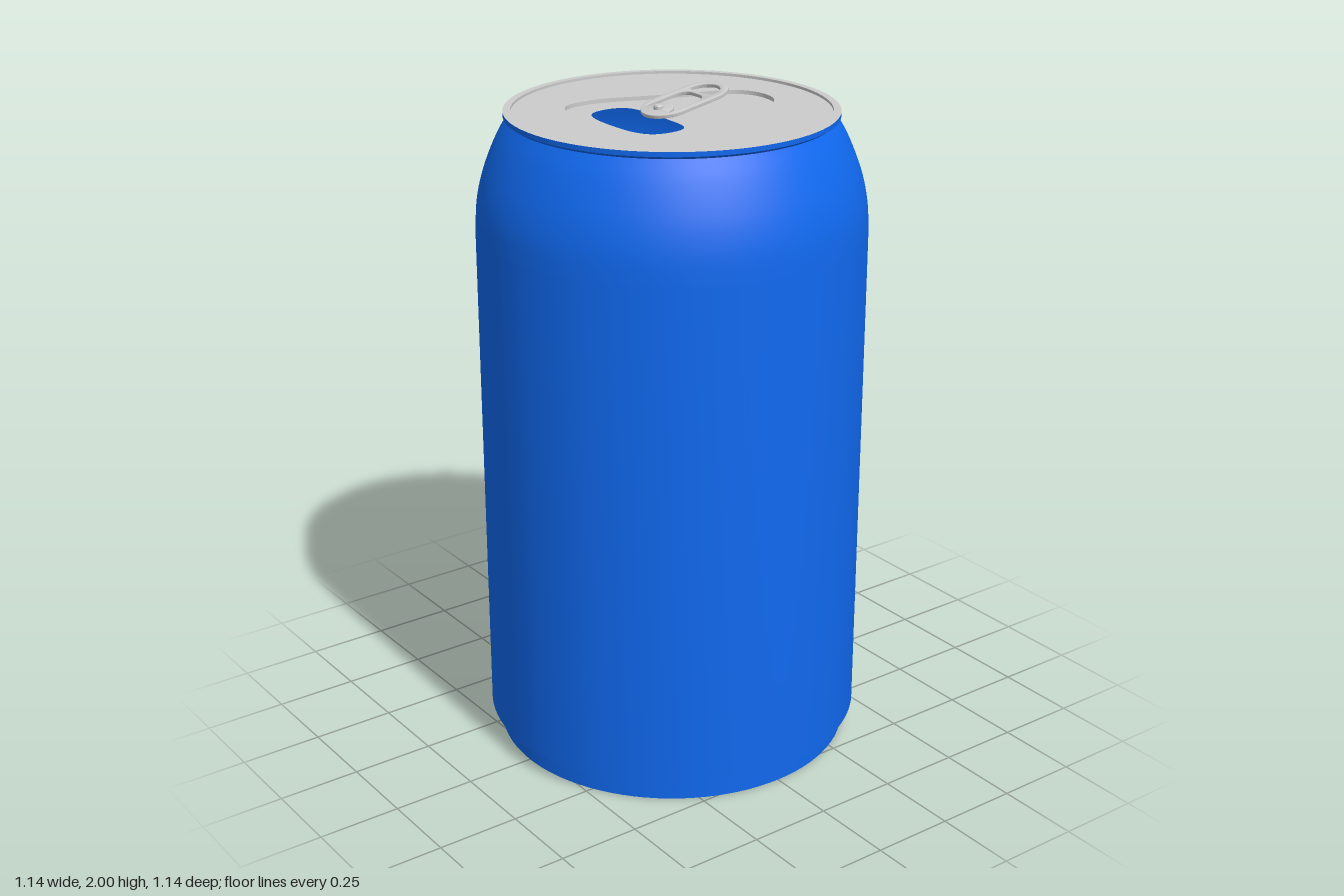
import * as THREE from 'three';
import { toCreasedNormals } from 'three/addons/utils/BufferGeometryUtils.js';

const blue = new THREE.MeshStandardMaterial({ color: 0x1068ee, side: THREE.DoubleSide });
const grey = new THREE.MeshStandardMaterial({ color: 0xcccccc, side: THREE.DoubleSide });

const LID_Y = 1.942, PANEL_Y = 1.93; // lid surface and sunken panel
const RIVET_Z = 0.047;

function addMesh(parent, name, geometry, material) {
  const mesh = new THREE.Mesh(geometry, material);
  mesh.name = name;
  parent.add(mesh);
  return mesh;
}

function lathe(points) {
  const profile = points.map(([x, y]) => new THREE.Vector2(x, y));
  return toCreasedNormals(new THREE.LatheGeometry(profile, 96), 0.5);
}

// Closed outline mirrored across x = 0; half runs from back centre to front centre as (x, z)
function mirroredOutline(start, curves) {
  const path = new THREE.Path();
  path.moveTo(start[0], -start[1]);
  for (const [ax, az, bx, bz, x, z] of curves) path.bezierCurveTo(ax, -az, bx, -bz, x, -z);
  const half = path.getPoints(16);
  const other = half.slice(1, -1).reverse().map((p) => new THREE.Vector2(-p.x, p.y));
  return [...half, ...other];
}

// Flat horizontal plate from an outline with one hole
function plate(outline, hole, y) {
  const shape = new THREE.Shape(outline);
  shape.holes.push(new THREE.Path(hole));
  return new THREE.ShapeGeometry(shape).rotateX(-Math.PI / 2).translate(0, y, 0);
}

// Vertical wall following an outline between two heights
function wall(outline, y0, y1) {
  const positions = [], index = [], n = outline.length;
  outline.forEach((p, i) => {
    positions.push(p.x, y0, -p.y, p.x, y1, -p.y);
    const a = 2 * i, b = 2 * ((i + 1) % n);
    index.push(a, a + 1, b, b, a + 1, b + 1);
  });
  const geometry = new THREE.BufferGeometry();
  geometry.setAttribute('position', new THREE.Float32BufferAttribute(positions, 3));
  geometry.setIndex(index);
  geometry.computeVertexNormals();
  return geometry;
}

function tabGeometry() {
  // Stadium outline, measured from the rivet, with +y toward the finger end
  const shape = new THREE.Shape();
  shape.absarc(0, 0.157, 0.078, 0, Math.PI);
  shape.absarc(0, 0.033, 0.078, Math.PI, 2 * Math.PI);
  shape.closePath();

  // D-shaped finger hole
  const finger = new THREE.Path();
  finger.absarc(0, 0.155, 0.055, 0, Math.PI);
  finger.quadraticCurveTo(0, 0.138, 0.055, 0.155);

  // Inner hole wrapping around the rivet tongue
  const inner = new THREE.Path();
  inner.moveTo(0.055, 0);
  inner.lineTo(0.055, 0.097);
  inner.absarc(0.017, 0.097, 0.038, 0, Math.PI / 2);
  inner.absarc(-0.017, 0.097, 0.038, Math.PI / 2, Math.PI);
  inner.lineTo(-0.055, 0);
  inner.absarc(0, 0, 0.045, Math.PI - 0.1, 0.1, true);
  inner.closePath();

  shape.holes.push(finger, inner);
  const geometry = new THREE.ExtrudeGeometry(shape, {
    depth: 0.006, curveSegments: 24,
    bevelThickness: 0.003, bevelSize: 0.003, bevelOffset: -0.003, bevelSegments: 2,
  });
  return toCreasedNormals(geometry.rotateX(-Math.PI / 2).translate(0, 0.003, 0), 0.6);
}

export function createModel() {
  const can = new THREE.Group();
  can.name = 'drinkCan';

  // Hollow body: straight wall, rounded shoulder and flared neck
  const shoulder = new THREE.SplineCurve([
    [0.569, 1.6], [0.564, 1.68], [0.55, 1.75], [0.528, 1.815], [0.499, 1.88], [0.47, 1.928],
  ].map(([x, y]) => new THREE.Vector2(x, y))).getPoints(24).map((p) => [p.x, p.y]);
  addMesh(can, 'body', lathe([
    [0.538, 0.072], [0.569, 0.072], ...shoulder, [0.481, 1.936], [0.481, 1.95],
  ]), blue);

  // Stepped base with a flat floor
  addMesh(can, 'base', lathe([[0, 0], [0.538, 0], [0.538, 0.072]]), blue);

  // Raised lid rim
  const lid = new THREE.Group();
  lid.name = 'lid';
  can.add(lid);
  addMesh(lid, 'lidRim', lathe([[0.481, 1.95], [0.46, 1.95], [0.46, LID_Y]]), grey);

  // Lid surface around the sunken tapered panel
  const panel = mirroredOutline([0, -0.337], [
    [0.05, -0.337, 0.09, -0.315, 0.112, -0.26],
    [0.145, -0.165, 0.165, -0.09, 0.2, -0.005],
    [0.22, 0.045, 0.238, 0.08, 0.238, 0.14],
    [0.238, 0.235, 0.2, 0.262, 0, 0.262],
  ]);
  const circle = new THREE.Path().absarc(0, 0, 0.46, 0, 2 * Math.PI).getPoints(96).slice(0, -1);
  addMesh(lid, 'lidSurface', plate(circle, panel, LID_Y), grey);
  addMesh(lid, 'panelEdge', wall(panel, PANEL_Y, LID_Y), grey);

  // Sunken panel with the drinking opening
  const mouth = mirroredOutline([0, 0.043], [
    [0.03, 0.043, 0.06, 0.043, 0.09, 0.045],
    [0.14, 0.048, 0.16, 0.07, 0.16, 0.12],
    [0.16, 0.19, 0.12, 0.21, 0, 0.21],
  ]);
  addMesh(lid, 'panel', plate(panel, mouth, PANEL_Y), grey);

  // Tilted pull tab held by a rivet
  const tab = addMesh(can, 'pullTab', tabGeometry(), grey);
  tab.position.set(0, 1.943, RIVET_Z);
  tab.rotation.x = 0.19;
  const rivet = addMesh(can, 'rivet', lathe([
    [0.014, PANEL_Y], [0.014, 1.962], [0.011, 1.967], [0, 1.968],
  ]), grey);
  rivet.position.z = RIVET_Z;

  return can;
}
